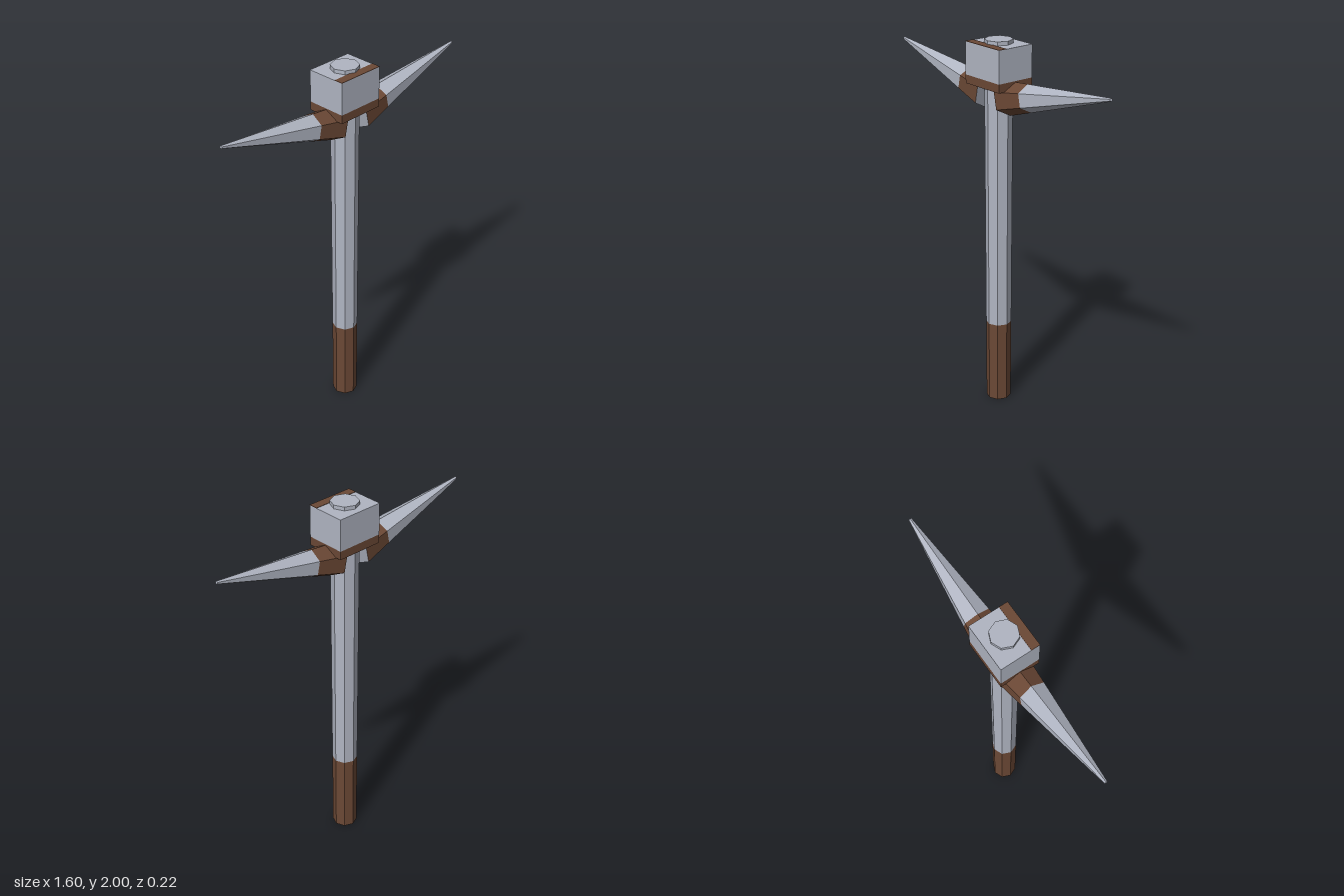
import * as THREE from 'three';

export function createModel() {
  const steel = new THREE.MeshStandardMaterial({ color: 0xb0b5c2 });
  steel.name = 'steelGrey';
  const leather = new THREE.MeshStandardMaterial({ color: 0x6b4835 });
  leather.name = 'leatherBrown';

  const model = new THREE.Group();
  model.name = 'pickaxe';

  // Faceted parts get one normal per face
  function add(parent, name, geometry, material) {
    const flat = geometry.index ? geometry.toNonIndexed() : geometry;
    flat.computeVertexNormals();
    const mesh = new THREE.Mesh(flat, material);
    mesh.name = name;
    parent.add(mesh);
    return mesh;
  }

  // Octagonal handle, widening slightly towards the top
  const handleRadius = (y) => 0.066 + (0.073 - 0.066) * (y / 2);
  function handlePart(name, y0, y1, side) {
    const g = new THREE.CylinderGeometry(handleRadius(y1), handleRadius(y0), y1 - y0, 8);
    g.translate(0, (y0 + y1) / 2, 0);
    add(model, name, g, [side, steel, steel]);
  }
  handlePart('handleGrip', 0, 0.45, leather);
  handlePart('handleShaft', 0.45, 2, steel);

  // Head block with a brown base band and a brown strip on its top front edge
  const head = new THREE.Group();
  head.name = 'head';
  model.add(head);
  function block(name, y0, y1, z0, z1, material) {
    const g = new THREE.BoxGeometry(0.26, y1 - y0, z1 - z0);
    g.translate(0, (y0 + y1) / 2, (z0 + z1) / 2);
    add(head, name, g, material);
  }
  block('headBand', 1.765, 1.81, -0.108, 0.108, leather);
  block('headBlock', 1.81, 1.98, -0.108, 0.108, steel);
  block('headTopStrip', 1.98, 1.982, 0.06, 0.108, leather);

  // Six-sided spike: brown collar near the handle, then a long steel point
  const length = 0.74, baseRadius = 0.0895, tipRadius = 0.008, collar = 0.165;
  const spikeRadius = (d) => baseRadius + (tipRadius - baseRadius) * (d / length);
  function spikePart(parent, name, d0, d1, side) {
    const g = new THREE.CylinderGeometry(spikeRadius(d1), spikeRadius(d0), d1 - d0, 6);
    g.translate(0, (d0 + d1) / 2, 0);
    g.rotateY(Math.PI / 2);
    g.rotateZ(-Math.PI / 2);
    g.scale(1, 1, 1.1);
    g.rotateZ(THREE.MathUtils.degToRad(11.7));
    g.translate(0.073, 1.71, 0);
    add(parent, name, g, [side, steel, steel]);
  }
  for (const [name, turn] of [['leftSpike', 0], ['rightSpike', Math.PI]]) {
    const spike = new THREE.Group();
    spike.name = name;
    spikePart(spike, name + 'Collar', 0, collar, leather);
    spikePart(spike, name + 'Point', collar, length, steel);
    spike.rotation.y = turn;
    model.add(spike);
  }

  return model;
}
